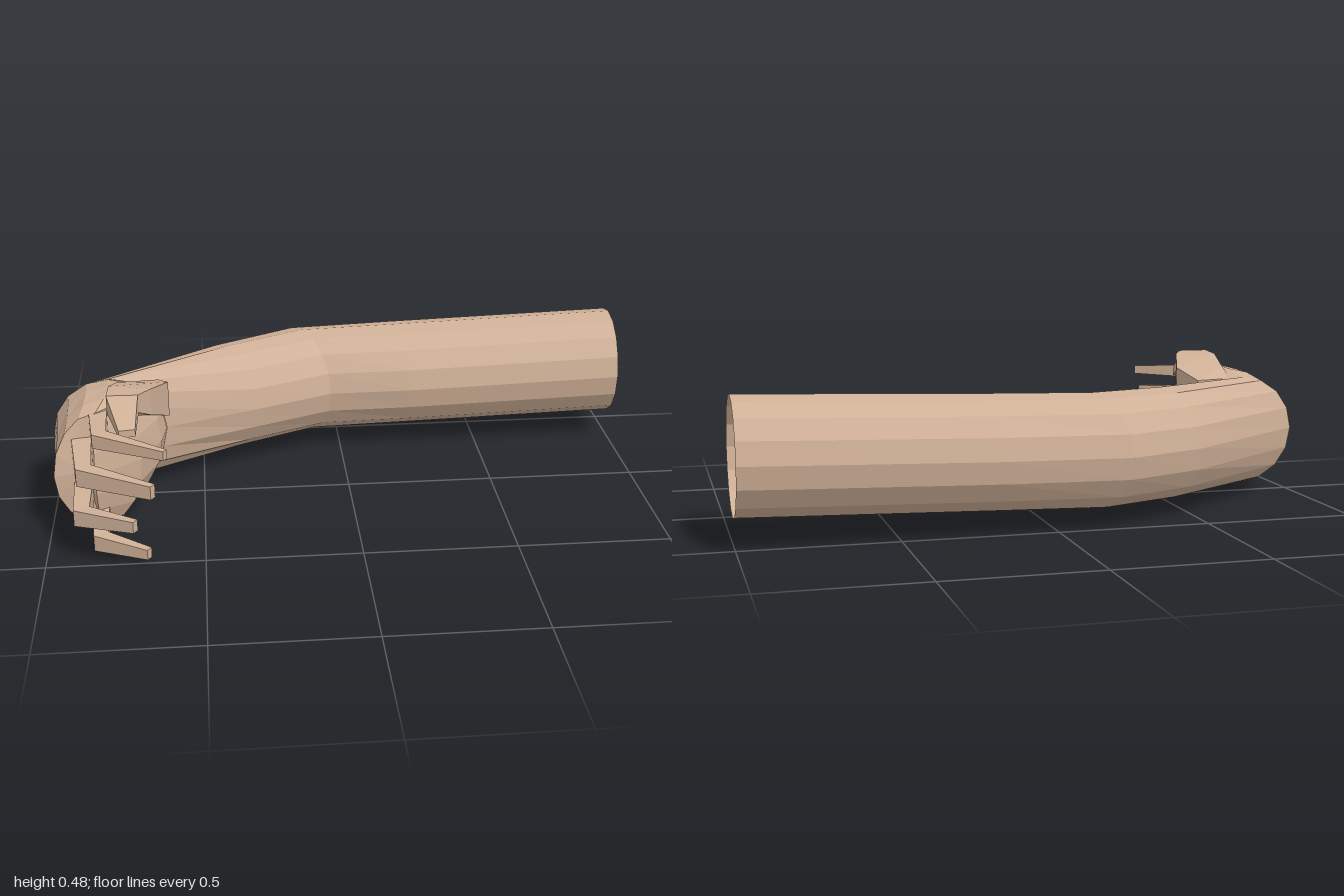
import * as THREE from 'three';

const skin = new THREE.MeshStandardMaterial({ color: 0xcfb097, flatShading: true, side: THREE.DoubleSide });
skin.name = 'skin';

// Joins equal-sized rings of points into a skin, optionally closing either end.
function loft(name, rings, capStart, capEnd) {
  const n = rings[0].length, index = [];
  const points = rings.flat();
  for (let i = 0; i < rings.length - 1; i++) {
    for (let j = 0; j < n; j++) {
      const k = (j + 1) % n, a = i * n + j, b = i * n + k;
      index.push(a, b, b + n, a, b + n, a + n);
    }
  }
  const cap = (start, flip) => {
    const centre = new THREE.Vector3();
    for (let j = 0; j < n; j++) centre.addScaledVector(points[start + j], 1 / n);
    points.push(centre);
    const c = points.length - 1;
    for (let j = 0; j < n; j++) {
      const a = start + j, b = start + (j + 1) % n;
      if (flip) index.push(c, b, a); else index.push(c, a, b);
    }
  };
  const last = (rings.length - 1) * n;
  if (capStart) cap(0, true);
  if (capEnd) cap(last, false);
  const geometry = new THREE.BufferGeometry().setFromPoints(points);
  geometry.setIndex(index);
  geometry.computeVertexNormals();
  const mesh = new THREE.Mesh(geometry, skin);
  mesh.name = name;
  return mesh;
}

const SIDES = 16;
const around = (n, fn) => Array.from({ length: n }, (_, j) => fn(j / n * Math.PI * 2));

// Arm ring between an outer and an inner point of the bend, seen from above.
function armRing([ox, oz, ix, iz, cy, ry]) {
  return around(SIDES, (t) => new THREE.Vector3(
    (ox + ix) / 2 + (ix - ox) / 2 * Math.cos(t),
    cy + ry * Math.sin(t),
    (oz + iz) / 2 + (iz - oz) / 2 * Math.cos(t)));
}

// Hand ring with separate depths for the back and the palm; its ends sweep back by 'curve'.
function handRing([z, cx, back, palm, cy, ry, curve]) {
  return around(SIDES, (t) => {
    const c = Math.cos(t), s = Math.sin(t);
    return new THREE.Vector3(cx + (c > 0 ? palm : back) * c, cy + ry * s, z - curve * s * s);
  });
}

// Four-sided finger from sections: x, y, z, half thickness, half width.
function finger(name, sections) {
  const rings = sections.map(([x, y, z, thick, wide], i) => {
    const p = sections[Math.max(i - 1, 0)], q = sections[Math.min(i + 1, sections.length - 1)];
    const dir = new THREE.Vector2(q[0] - p[0], q[2] - p[2]).normalize();
    return [[1, -1], [1, 1], [-1, 1], [-1, -1]].map(([u, v]) => new THREE.Vector3(
      x + u * thick * dir.y, y + v * wide, z - u * thick * dir.x));
  });
  return loft(name, rings, true, true);
}

export function createModel() {
  const model = new THREE.Group();
  model.name = 'arm';

  // Hollow sleeve-like arm, open at the shoulder and bent at the elbow
  model.add(loft('armTube', [
    [1, -0.605, 1, -0.23, 0.277, 0.188],
    [0.2, -0.605, 0.25, -0.23, 0.255, 0.186],
    [-0.22, -0.58, -0.04, -0.25, 0.245, 0.187],
    [-0.5, -0.43, -0.31, -0.15, 0.238, 0.187],
    [-1, -0.03, -0.62, -0.045, 0.23, 0.187],
  ].map(armRing), false, false));

  // Cupped hand
  model.add(loft('palm', [
    [-0.035, -0.81, 0.19, 0.19, 0.23, 0.187, 0],
    [0.07, -0.8, 0.19, 0.165, 0.232, 0.205, 0],
    [0.19, -0.81, 0.17, 0.11, 0.222, 0.217, 0],
    [0.295, -0.835, 0.14, -0.01, 0.22, 0.195, 0.05],
  ].map(handRing), false, true));

  // Curled fingers
  const fingers = {
    indexFinger: [[-0.83, 0.375, 0.2, 0.03, 0.038], [-0.815, 0.392, 0.4, 0.026, 0.023], [-0.61, 0.39, 0.53, 0.01, 0.015]],
    middleFinger: [[-0.885, 0.295, 0.24, 0.032, 0.043], [-0.865, 0.297, 0.455, 0.028, 0.029], [-0.65, 0.298, 0.592, 0.012, 0.022]],
    ringFinger: [[-0.885, 0.155, 0.24, 0.03, 0.035], [-0.88, 0.157, 0.455, 0.028, 0.027], [-0.71, 0.17, 0.565, 0.012, 0.019]],
    littleFinger: [[-0.84, 0.05, 0.2, 0.03, 0.036], [-0.83, 0.037, 0.4, 0.026, 0.027], [-0.675, 0.037, 0.497, 0.012, 0.017]],
  };
  for (const [name, sections] of Object.entries(fingers)) model.add(finger(name, sections));

  // Thumb with its fleshy heel
  model.add(finger('thumb', [
    [-0.71, 0.36, -0.02, 0.07, 0.05],
    [-0.69, 0.385, 0.07, 0.085, 0.06],
    [-0.725, 0.435, 0.2, 0.07, 0.045],
    [-0.745, 0.455, 0.275, 0.05, 0.03],
    [-0.73, 0.395, 0.372, 0.026, 0.012],
  ]));
  return model;
}
